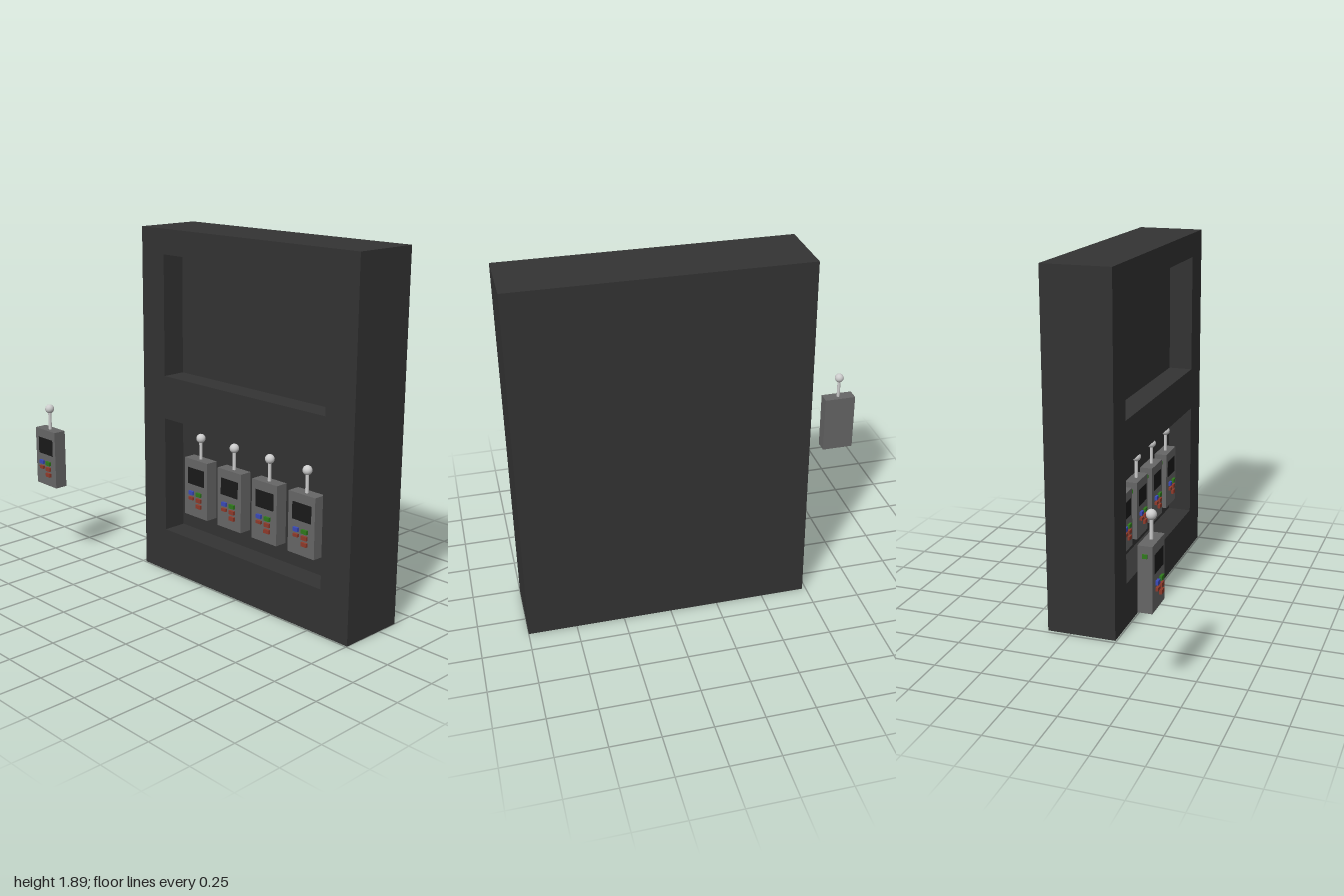
import * as THREE from 'three';

const mat = (color) => new THREE.MeshStandardMaterial({ color });
const cabinetMat = mat(0x333333), bodyMat = mat(0x666666), screenMat = mat(0x1a1a1a);
const metalMat = mat(0xcccccc), blueMat = mat(0x3a4ab8), greenMat = mat(0x2f7a1c), redMat = mat(0x8f3a2a);

function add(parent, name, geometry, material, x, y, z) {
  const mesh = new THREE.Mesh(geometry, material);
  mesh.name = name;
  mesh.position.set(x, y, z);
  parent.add(mesh);
  return mesh;
}

const box = (w, h, d) => new THREE.BoxGeometry(w, h, d);

function rectangle(Type, x0, y0, x1, y1) {
  const path = new Type();
  path.moveTo(x0, y0);
  path.lineTo(x1, y0);
  path.lineTo(x1, y1);
  path.lineTo(x0, y1);
  path.closePath();
  return path;
}

// Cabinet: a front frame with two openings in front of a solid back
function createCabinet() {
  const cabinet = new THREE.Group();
  cabinet.name = 'cabinet';
  const front = -0.007, recess = 0.132, back = -0.375;
  const face = rectangle(THREE.Shape, -0.48, 0, 1, 1.895);
  face.holes.push(
    rectangle(THREE.Path, -0.31, 1.112, 0.823, 1.762),
    rectangle(THREE.Path, -0.31, 0.24, 0.823, 0.877),
  );
  const frame = new THREE.ExtrudeGeometry(face, { depth: recess, bevelEnabled: false });
  add(cabinet, 'frontFrame', frame, cabinetMat, 0, 0, front - recess);
  const depth = front - recess - back;
  add(cabinet, 'cabinetBack', box(1.48, 1.895, depth), cabinetMat, 0.26, 0.9475, back + depth / 2);
  return cabinet;
}

// Handset: origin at the bottom centre of its body
function createHandset() {
  const handset = new THREE.Group();
  handset.name = 'handset';
  const w = 0.176, h = 0.322, d = 0.07;
  add(handset, 'body', box(w, h, d), bodyMat, 0, h / 2, 0);
  add(handset, 'screen', box(0.125, 0.092, 0.004), screenMat, 0.002, 0.227, d / 2);
  add(handset, 'sideButton', box(0.012, 0.02, 0.024), greenMat, -w / 2, 0.274, 0);

  // Keys: x, y, width, height, material
  const keys = [
    [-0.03, 0.133, 0.032, 0.021, blueMat],
    [-0.03, 0.102, 0.032, 0.016, redMat],
    [0.027, 0.133, 0.036, 0.021, greenMat],
    [0.027, 0.1, 0.036, 0.021, redMat],
    [0.027, 0.066, 0.036, 0.021, redMat],
  ];
  for (const [x, y, kw, kh, material] of keys) {
    add(handset, 'key', box(kw, kh, 0.026), material, x, y, d / 2);
  }

  // Aerial with a ball tip
  add(handset, 'aerialRod', new THREE.CylinderGeometry(0.009, 0.009, 0.12, 24), metalMat, 0.002, h + 0.055, 0);
  add(handset, 'aerialBall', new THREE.SphereGeometry(0.025, 32, 20), metalMat, 0.002, 0.439, 0);
  return handset;
}

export function createModel() {
  const model = new THREE.Group();
  model.name = 'handsetStation';
  model.add(createCabinet());

  // Four handsets stored in the lower recess
  for (let i = 0; i < 4; i++) {
    const stored = createHandset();
    stored.name = 'storedHandset';
    stored.position.set(-0.131 + i * 0.255, 0.345, -0.103);
    model.add(stored);
  }

  // One loose handset beside the cabinet
  const loose = createHandset();
  loose.name = 'looseHandset';
  loose.position.set(-0.906, 0.438, 0.326);
  model.add(loose);
  return model;
}
